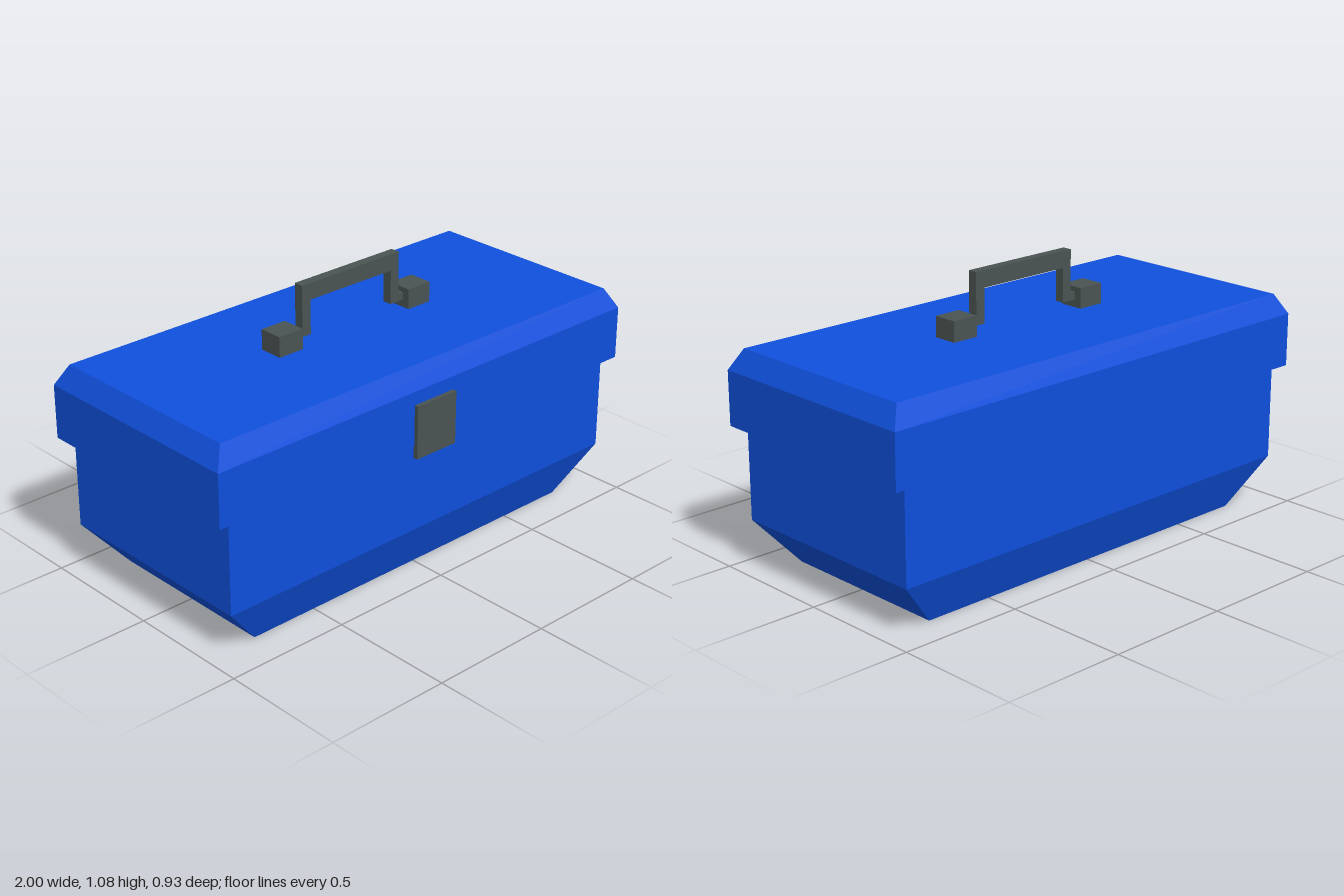
import * as THREE from 'three';

const MID_Z = -0.0065; // depth centre of the box; the latch sticks out in front

// Stack of rectangular rings [y, halfWidth, halfDepth], bottom to top, with flat faces
function rectLoft(rings, capBottom, capTop) {
  const pos = [];
  const corners = rings.map(([y, w, d]) => [[-w, y, d], [w, y, d], [w, y, -d], [-w, y, -d]]);
  const quad = (a, b, c, d) => pos.push(...a, ...b, ...c, ...a, ...c, ...d);
  for (let r = 0; r < corners.length - 1; r++) {
    const lo = corners[r], hi = corners[r + 1];
    for (let i = 0; i < 4; i++) {
      const j = (i + 1) % 4;
      quad(lo[i], lo[j], hi[j], hi[i]);
    }
  }
  if (capBottom) quad(...[...corners[0]].reverse());
  if (capTop) quad(...corners[corners.length - 1]);
  const geometry = new THREE.BufferGeometry();
  geometry.setAttribute('position', new THREE.Float32BufferAttribute(pos, 3));
  geometry.computeVertexNormals();
  return geometry;
}

export function createModel() {
  const group = new THREE.Group();
  const blue = new THREE.MeshStandardMaterial({ color: 0x1050dd });
  const grey = new THREE.MeshStandardMaterial({ color: 0x4a5452 });

  const add = (name, geometry, material, x, y, z) => {
    const mesh = new THREE.Mesh(geometry, material);
    mesh.name = name;
    mesh.position.set(x, y, z);
    group.add(mesh);
  };

  // Lower box, tapering in towards its floor
  add('body', rectLoft([
    [0, 0.78, 0.358], [0.19, 0.943, 0.432], [0.55, 0.943, 0.432],
  ], true, false), blue, 0, 0, MID_Z);

  // Overhanging lid with a bevelled top edge
  add('lid', rectLoft([
    [0.548, 0.943, 0.432], [0.56, 1, 0.457], [0.77, 1, 0.457], [0.85, 0.955, 0.416],
  ], false, true), blue, 0, 0, MID_Z);

  // Front latch plate
  add('latch', new THREE.BoxGeometry(0.193, 0.21, 0.019), grey, -0.004, 0.612, 0.4575);

  // Carrying handle: square bail with out-turned ends
  const half = [[0.2, 1.015], [0.2, 0.88], [0.27, 0.88], [0.27, 0.91], [0.24, 0.91], [0.24, 1.08]];
  const outline = [...half, ...half.map(([x, y]) => [-x, y]).reverse()];
  const bail = new THREE.ExtrudeGeometry(
    new THREE.Shape(outline.map(([x, y]) => new THREE.Vector2(x, y))),
    { depth: 0.038, bevelEnabled: false },
  );
  add('handle', bail, grey, 0, 0, MID_Z - 0.019);

  // Mounting blocks that hold the handle ends
  for (const [side, s] of [['left', 1], ['right', -1]]) {
    add(`${side}HandleMount`, new THREE.BoxGeometry(0.11, 0.08, 0.097), grey, s * 0.32, 0.89, MID_Z);
  }
  return group;
}
